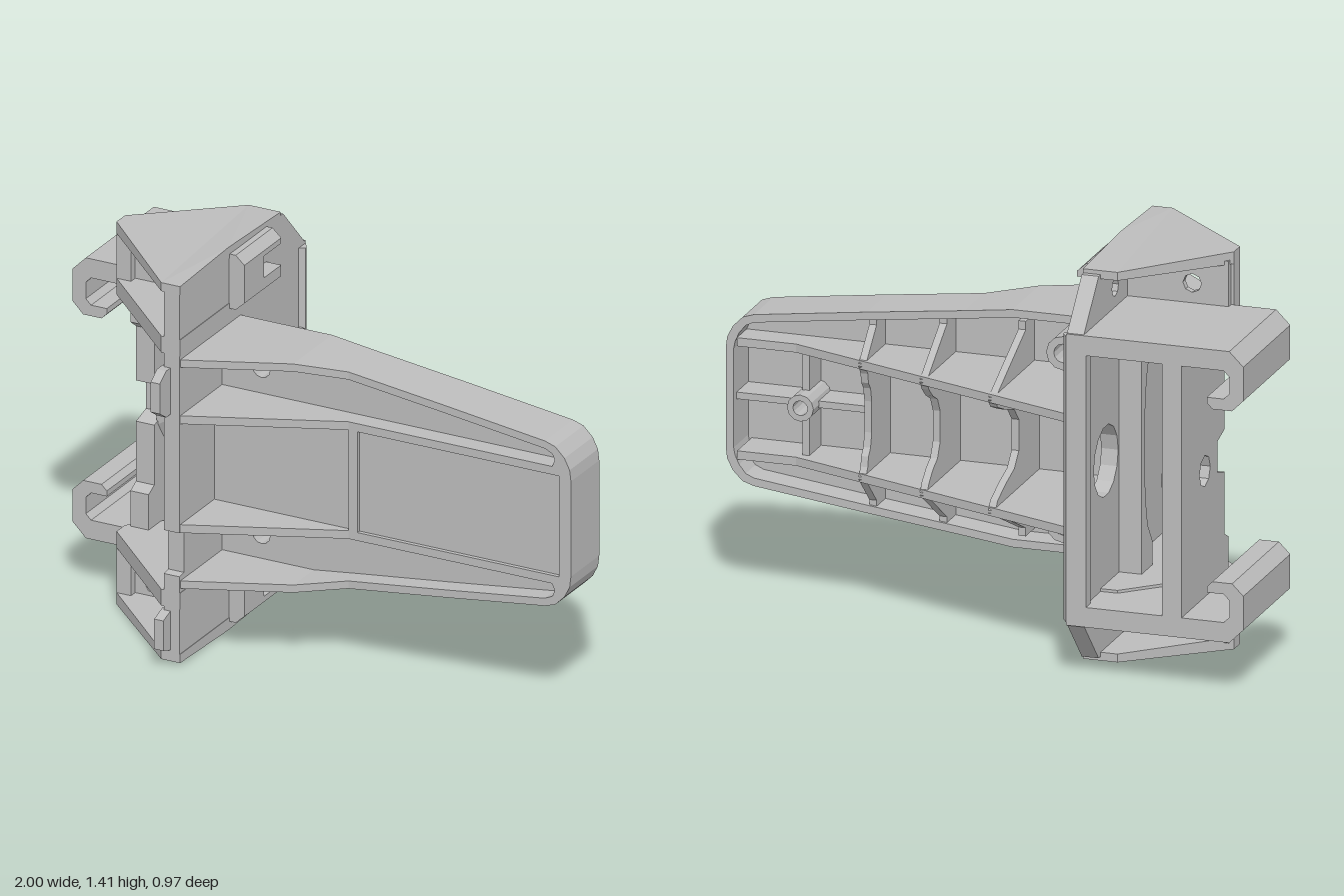
import * as THREE from 'three';

const MID = 0.705; // height of the mirror plane
const flip = (p) => p.map(([u, y]) => [u, 2 * MID - y]);
const ring = (u, v, r, n = 10) =>
  Array.from({ length: n }, (_, i) => {
    const a = (i / n) * Math.PI * 2;
    return [u + r * Math.cos(a), v + r * Math.sin(a)];
  });
const rect = (u0, v0, u1, v1) => [[u0, v0], [u1, v0], [u1, v1], [u0, v1]];

// Extrude an outline from a to b along an axis.
// Outline coordinates: axis z -> (x, y), axis y -> (x, z), axis x -> (z, y)
function prism(axis, pts, a, b, holes = []) {
  const turned = (l) => {
    const v = l.map(([u, w]) => new THREE.Vector2(u, w));
    return THREE.ShapeUtils.isClockWise(v) ? v.reverse() : v;
  };
  const s = new THREE.Shape(turned(pts));
  s.holes = holes.map((h) => new THREE.Path(turned(h)));
  const g = new THREE.ExtrudeGeometry(s, { depth: b - a, bevelEnabled: false });
  if (axis === 'z') g.translate(0, 0, a);
  if (axis === 'y') g.rotateX(Math.PI / 2).translate(0, b, 0);
  if (axis === 'x') g.rotateY(-Math.PI / 2).translate(b, 0, 0);
  return g;
}

// Arm rim: a wall with four corners per station, its front edge rising towards the upright
function rimGeometry() {
  const half = (o) => [
    [-0.38, 1.125 - o], [-0.02, 1.125 - o], [0.15, 1.103 - o], [0.5, 1.06 - o], [0.9, 1.008 - o],
    [0.94 - o * 0.4, 0.995 - o], [0.975 - o * 0.8, 0.96 - o * 0.8], [0.995 - o, 0.92 - o * 0.5], [1 - o, 0.88],
  ];
  const loop = (o) => [...half(o), ...flip(half(o)).reverse()];
  const outer = loop(0), inner = loop(0.028);
  const front = (x) => 0.18 + (Math.max(0, 0.15 - x) / 0.52) * 0.225;
  const stations = outer.map(([x, y], i) => {
    const [u, v] = inner[i], f = front(x);
    return [[x, y, -0.02], [x, y, f], [u, v, f], [u, v, -0.02]];
  });
  const pos = [];
  for (let i = 0; i + 1 < stations.length; i++)
    for (let k = 0; k < 4; k++) {
      const a = stations[i][k], b = stations[i][(k + 1) % 4];
      const c = stations[i + 1][(k + 1) % 4], d = stations[i + 1][k];
      pos.push(...a, ...b, ...c, ...a, ...c, ...d);
    }
  const g = new THREE.BufferGeometry();
  g.setAttribute('position', new THREE.Float32BufferAttribute(pos, 3));
  g.computeVertexNormals();
  return g;
}

export function createModel() {
  const root = new THREE.Group();
  root.name = 'bracket';
  const grey = new THREE.MeshStandardMaterial({ color: 0xbcbcbc });
  grey.name = 'grey plastic';
  const add = (name, g) => {
    const m = new THREE.Mesh(g, grey);
    m.name = name;
    root.add(m);
  };
  const part = (name, ...p) => add(name, prism(...p));
  // The same part above and below the mirror plane
  const pair = (name, axis, pts, a, b, holes = []) => {
    part(name + 'Upper', axis, pts, a, b, holes);
    if (axis === 'y') part(name + 'Lower', axis, pts, 2 * MID - b, 2 * MID - a, holes);
    else part(name + 'Lower', axis, flip(pts), a, b, holes.map(flip));
  };

  // Main upright wall with the large hole and two bolt holes
  part('mainWall', 'x', [
    [0.41, 0.04], [0.07, 0.03], [-0.32, 0.03], [-0.48, 0.2], [-0.48, 1.21], [-0.32, 1.38],
    [0.07, 1.38], [0.41, 1.37], [0.41, 0.49], [0.38, 0.485], [0.38, 0.335], [0.41, 0.33],
  ], -0.43, -0.37, [
    ring(-0.245, MID, 0.125, 14), ring(-0.15, 1.29, 0.033, 8), ring(-0.15, 2 * MID - 1.29, 0.033, 8),
  ]);
  part('wallBackEdge', 'y', [[-0.44, -0.48], [-0.37, -0.48], [-0.35, -0.45], [-0.35, -0.44], [-0.37, -0.43], [-0.44, -0.43]], 0.2, 1.21);
  part('frontTabUpper', 'x', [[0.4, 0.92], [0.44, 0.92], [0.485, 0.95], [0.485, 1.06], [0.44, 1.09], [0.4, 1.09]], -0.44, -0.405);
  part('frontTabLower', 'x', [[0.4, 0.05], [0.46, 0.07], [0.46, 0.18], [0.4, 0.2]], -0.44, -0.405);

  // Inner stiffener with a concave front edge
  const arc = Array.from({ length: 11 }, (_, i) => {
    const t = (i / 10) * 2 - 1;
    return [-0.08 * Math.sqrt(1 - t * t), MID + t * 0.35];
  });
  part('wallStiffener', 'x', [[-0.11, 0.22], [0, 0.22], ...arc, [0, 1.19], [-0.11, 1.19]], -0.51, -0.42);

  // Second upright plate, notched at the front, with a tapered boss
  part('framePlate', 'x', [
    [-0.48, 0.22], [0, 0.22], [0, 0.4], [-0.04, 0.42], [-0.04, 0.64], [-0.11, 0.66], [-0.11, 0.77],
    [-0.04, 0.79], [-0.04, 0.99], [0, 1.02], [0, 1.19], [-0.48, 1.19],
  ], -0.78, -0.71, [ring(-0.24, MID, 0.055, 8)]);
  const boss = new THREE.LatheGeometry(
    [[0.055, 0.035], [0.055, 0], [0.19, 0], [0.15, 0.035], [0.055, 0.035]].map(([x, y]) => new THREE.Vector2(x, y)), 16).toNonIndexed();
  boss.computeVertexNormals();
  add('frameBoss', boss.rotateZ(-Math.PI / 2).translate(-0.712, MID, -0.24));

  // Frame rails ending in hooks
  pair('hookRail', 'z', [
    [-0.37, 1.15], [-0.37, 1.22], [-0.95, 1.22], [-1, 1.17], [-1, 1.05], [-0.96, 1.01], [-0.89, 1.01],
    [-0.87, 1.03], [-0.87, 1.05], [-0.93, 1.05], [-0.95, 1.07], [-0.95, 1.13], [-0.93, 1.15],
  ], -0.48, 0);

  // Wedge-shaped end boxes, open at the back: lower plate, bulged cap, floor with nut seat
  const wedge = [[-0.8, 0], [-0.8, 0.06], [-0.44, 0.41], [-0.368, 0.41], [-0.368, 0.07], [-0.368, -0.3], [-0.49, -0.3]];
  pair('wedgePlate', 'y', wedge, 1.14, 1.2);
  for (const sgn of [1, -1]) {
    const ends = [1.365, 1.408].map((y) => MID + sgn * (y - MID)).sort((a, b) => a - b);
    const cap = prism('y', wedge, ...ends);
    const p = cap.attributes.position;
    for (let i = 0; i < p.count; i++) {
      const y = p.getY(i);
      if (Math.abs(y - MID) > 0.68) p.setY(i, y - sgn * 0.1 * (p.getZ(i) - 0.07) ** 2);
    }
    cap.computeVertexNormals();
    add(sgn > 0 ? 'wedgeCapUpper' : 'wedgeCapLower', cap);
  }
  pair('wedgeFloor', 'z', rect(-0.79, 1.17, -0.4, 1.38), -0.025, 0, [ring(-0.66, 1.29, 0.033, 8)]);
  pair('nutSeat', 'z', rect(-0.79, 1.17, -0.4, 1.38), 0, 0.03, [ring(-0.66, 1.29, 0.068, 6)]);
  pair('wedgeLip', 'z', rect(-0.8, 1.15, -0.745, 1.39), 0, 0.06);

  // Clip pads on the outer face of the wall: a solid block, then two rails around the bolt hole
  pair('clipPad', 'z', [[-0.38, 1.18], [-0.345, 1.18], [-0.312, 1.21], [-0.312, 1.35], [-0.345, 1.38], [-0.38, 1.38]], -0.08, 0.06);
  pair('clipRailInner', 'z', [[-0.38, 1.18], [-0.345, 1.18], [-0.312, 1.21], [-0.312, 1.25], [-0.38, 1.25]], -0.2, -0.08);
  pair('clipRailOuter', 'z', [[-0.38, 1.33], [-0.312, 1.33], [-0.312, 1.35], [-0.345, 1.38], [-0.38, 1.38]], -0.2, -0.08);

  // Arm rim and skins
  add('armRim', rimGeometry());
  part('armPanel', 'z', rect(-0.38, 0.5, 0.98, 0.91), 0.13, 0.165);
  pair('armSideSkin', 'z', [[-0.38, 0.9], [0.975, 0.9], [0.96, 0.95], [0.92, 0.985], [0.5, 1.04], [0.15, 1.085], [-0.02, 1.105], [-0.38, 1.105]],
    0.08, 0.11, [ring(-0.22, 1.01, 0.033, 12)]);
  part('panelDivider', 'z', rect(0.15, 0.51, 0.185, 0.9), 0.15, 0.18);
  part('panelTipEdge', 'z', rect(0.955, 0.5, 0.98, 0.91), 0.15, 0.18);
  pair('tipCorner', 'z', [[0.92, 0.9], [0.98, 0.9], [0.965, 0.95], [0.93, 0.98], [0.9, 0.985], [0.93, 0.965], [0.938, 0.945], [0.93, 0.925]], 0.1, 0.18);

  // Long gusset ribs running through the arm
  pair('longRib', 'y', [[-0.38, 0.41], [0.15, 0.18], [0.96, 0.18], [0.96, -0.02], [0.75, -0.02], [-0.35, -0.43], [-0.38, -0.44]], 0.89, 0.92);

  // Cross ribs: scooped in the middle, sloping down outside
  for (const x of [-0.05, 0.23, 0.48]) {
    const s = -0.43 + (x + 0.35) * 0.373;
    const dip = Math.max(s + 0.06, -0.08);
    const edge = [[s, 0.9], [s + 0.02, 0.87], [s + (dip - s) * 0.45, 0.835], [s + (dip - s) * 0.8, 0.81], [dip, 0.76]];
    part('crossRib', 'x', [[0.14, 0.9], ...edge, ...flip(edge).reverse(), [0.14, 0.51]], x - 0.013, x + 0.013);
    const top = Math.min(1.1, 1.122 - (x + 0.02) * 0.124) - 0.015;
    pair('sideRib', 'x', [[0.09, 0.91], [s, 0.91], [-0.01, top - 0.03], [-0.01, top], [0.09, top]], x - 0.013, x + 0.013);
  }

  // Screw bosses on the back of the arm
  pair('screwBoss', 'z', ring(-0.22, 1.01, 0.06, 12), -0.08, 0.09, [ring(-0.22, 1.01, 0.033, 12)]);
  part('tipBoss', 'z', ring(0.725, MID, 0.047, 12), -0.05, 0.14, [ring(0.725, MID, 0.026, 12)]);
  for (const [a, b] of [[0.49, 0.68], [0.77, 0.98]])
    part('tipRib', 'z', rect(a, MID - 0.012, b, MID + 0.012), 0.01, 0.14);
  pair('tipCrossRib', 'z', rect(0.713, 0.75, 0.737, 0.9), 0.01, 0.14);

  return root;
}
